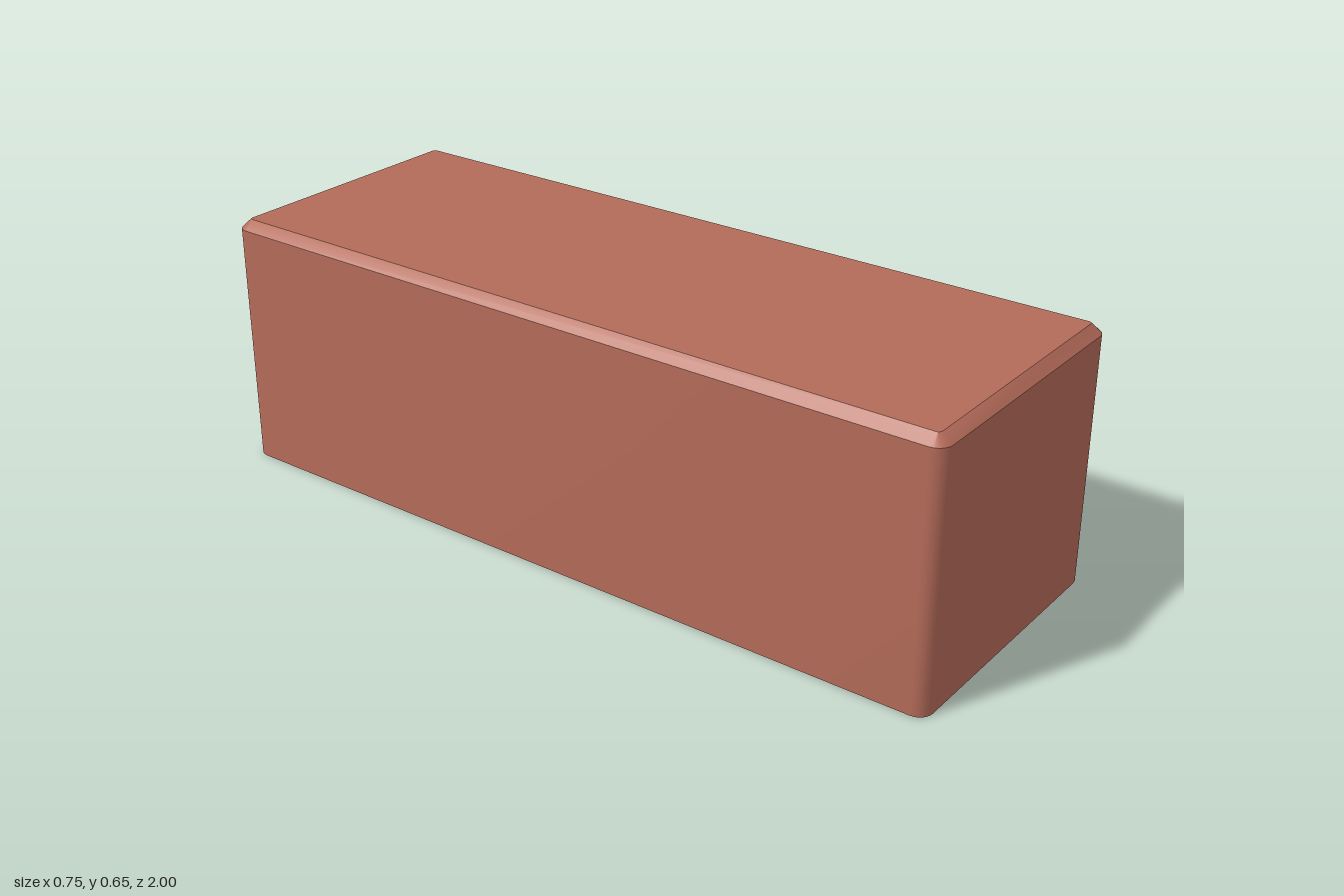
import * as THREE from 'three';
import { mergeGeometries, toCreasedNormals } from 'three/addons/utils/BufferGeometryUtils.js';

const X0 = -0.375, X1 = 0.347, TOP = 0.648;
const KNEE = { half: 0.43, height: 0.475, depth: 0.335 };

// Rounded rectangle at height y, pulled in by inset, starting on the +x side
function ring(hx, hz, r, y, inset) {
  const rr = Math.max(r - inset, 0.001), steps = 5, pts = [];
  const signs = [[1, -1], [-1, -1], [-1, 1], [1, 1]];
  signs.forEach(([sx, sz], c) => {
    for (let i = 0; i <= steps; i++) {
      const a = (c + i / steps) * Math.PI / 2;
      pts.push([
        sx * (hx - inset - rr) + rr * Math.cos(a), y,
        sz * (hz - inset - rr) - rr * Math.sin(a),
      ]);
    }
  });
  return pts;
}

// Block from stacked rings [y, inset], capped; openSide leaves the lowest +x wall out
function block(hx, hz, r, layers, openSide = false) {
  const rings = layers.map(([y, inset]) => ring(hx, hz, r, y, inset));
  const n = rings[0].length, pos = [];
  const tri = (...corners) => corners.forEach((p) => pos.push(...p));
  for (let k = 0; k < rings.length - 1; k++) {
    for (let i = 0; i < n; i++) {
      if (openSide && k === 0 && i === n - 1) continue;
      const j = (i + 1) % n, lo = rings[k], hi = rings[k + 1];
      tri(lo[i], lo[j], hi[j]);
      tri(lo[i], hi[j], hi[i]);
    }
  }
  const bottom = rings[0], top = rings[rings.length - 1];
  for (let i = 0; i < n; i++) {
    const j = (i + 1) % n;
    tri([0, top[0][1], 0], top[i], top[j]);
    tri([0, bottom[0][1], 0], bottom[j], bottom[i]);
  }
  const geo = new THREE.BufferGeometry();
  geo.setAttribute('position', new THREE.Float32BufferAttribute(pos, 3));
  return geo;
}

// Keep only positions so differently built parts can be merged
function bare(geo) {
  const g = geo.index ? geo.toNonIndexed() : geo;
  const out = new THREE.BufferGeometry();
  out.setAttribute('position', g.getAttribute('position'));
  return out;
}

function bodyGeometry() {
  const r = 0.035, chamfer = 0.025, wallTop = TOP - 0.023, hx = (X1 - X0) / 2;
  const shell = block(hx, 1, r, [[0, 0], [wallTop, 0], [TOP, chamfer]], true);
  shell.translate((X0 + X1) / 2, 0, 0);

  // Drawer-side wall with a notch for the knee space
  const w = 1 - r, { half, height, depth } = KNEE;
  const outline = [[-w, 0], [-half, 0], [-half, height], [half, height],
    [half, 0], [w, 0], [w, wallTop], [-w, wallTop]];
  const wall = new THREE.ShapeGeometry(
    new THREE.Shape(outline.map(([x, y]) => new THREE.Vector2(x, y))));
  wall.rotateY(Math.PI / 2).translate(X1, 0, 0);

  // Knee space: a box turned inside out, without its open +x face
  const floor = 0.002;
  const recess = new THREE.BoxGeometry(depth, height - floor, half * 2);
  recess.setIndex(Array.from(recess.index.array).slice(6).reverse());
  recess.translate(X1 - depth / 2, (height + floor) / 2, 0);

  return toCreasedNormals(mergeGeometries([shell, wall, recess].map(bare)), 0.6);
}

// Drawer front with a chamfered face, pointing to +x
function drawerGeometry(height, width) {
  const geo = block(height / 2, width / 2, 0.008, [[-0.002, 0], [0.017, 0], [0.026, 0.014]]);
  geo.rotateZ(-Math.PI / 2);
  return toCreasedNormals(geo, 0.6);
}

export function createModel() {
  const model = new THREE.Group();
  model.name = 'desk';
  const wood = new THREE.MeshStandardMaterial({ color: 0xb46b59 });
  wood.name = 'reddish wood';

  const body = new THREE.Mesh(bodyGeometry(), wood);
  body.name = 'deskBody';
  model.add(body);

  // Two drawers on each side of the knee space
  const columns = [['left', -0.857, -0.535], ['right', 0.565, 0.877]];
  const rows = [['upper', 0.315, 0.468], ['lower', 0.157, 0.296]];
  for (const [side, z0, z1] of columns) {
    for (const [level, y0, y1] of rows) {
      const drawer = new THREE.Mesh(drawerGeometry(y1 - y0, z1 - z0), wood);
      drawer.name = `${level} ${side} drawer`;
      drawer.position.set(X1, (y0 + y1) / 2, (z0 + z1) / 2);
      model.add(drawer);
    }
  }
  return model;
}
